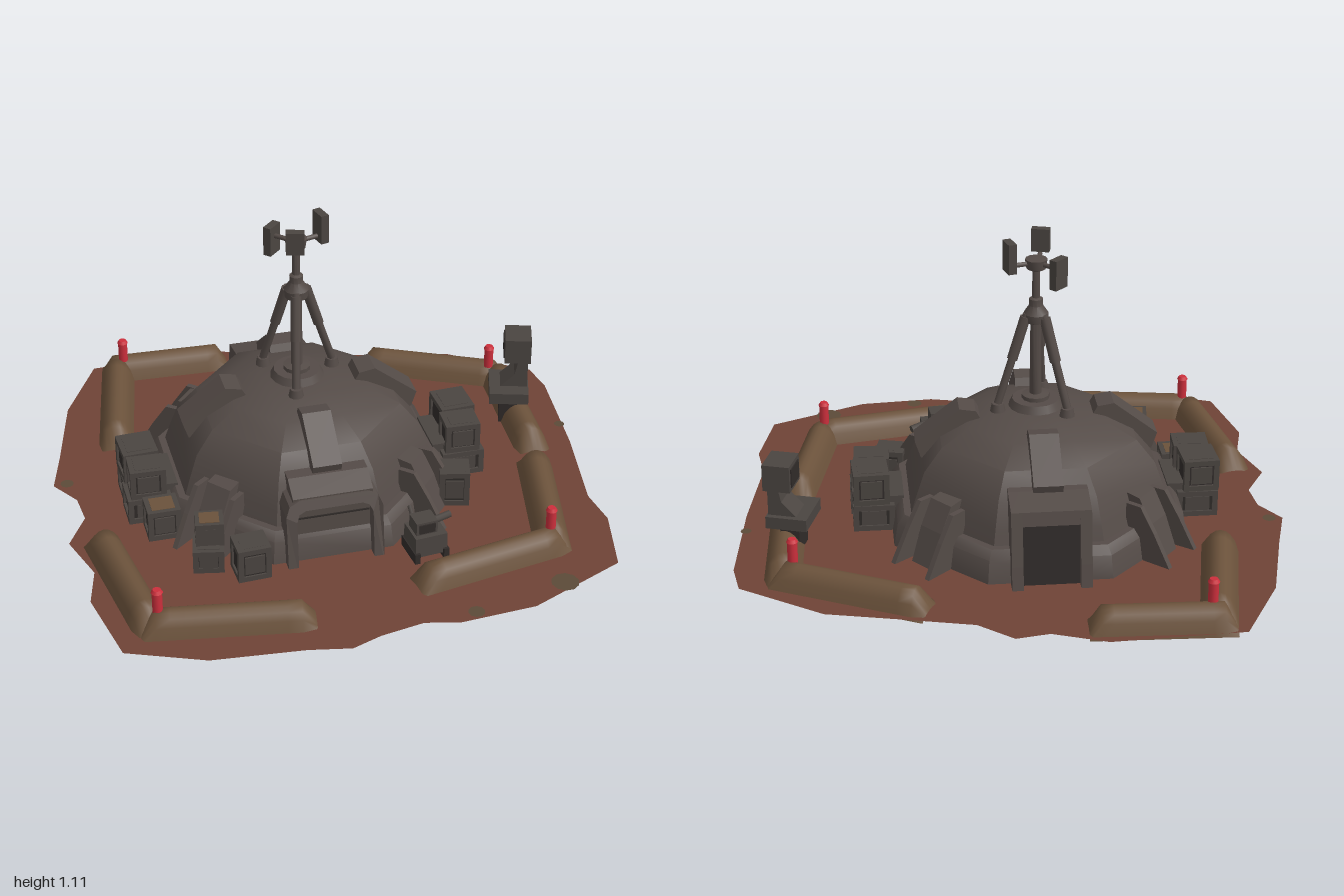
import * as THREE from 'three';
import { toCreasedNormals } from 'three/addons/utils/BufferGeometryUtils.js';

const material = (name, color, side = THREE.FrontSide) => {
  const m = new THREE.MeshStandardMaterial({ color, side });
  m.name = name;
  return m;
};

export function createModel() {
  const model = new THREE.Group();
  const hull = material('hull grey', 0x544b47, THREE.DoubleSide);
  const gear = material('gear grey', 0x4b4541);
  const dark = material('dark panel', 0x302b29);
  const soil = material('red soil', 0x6f4336, THREE.DoubleSide);
  const patchMat = material('dry soil', 0x5c4a38, THREE.DoubleSide);
  const sand = material('sandbag brown', 0x6b523b, THREE.DoubleSide);
  const red = material('beacon red', 0xcc2f3c);
  const GROUND = 0.035;

  const add = (parent, name, geo, mat, x = 0, y = 0, z = 0) => {
    const m = new THREE.Mesh(geo, mat);
    m.name = name;
    m.position.set(x, y, z);
    parent.add(m);
    return m;
  };
  const group = (parent, name, x = 0, y = 0, z = 0, turn = 0) => {
    const g = new THREE.Group();
    g.name = name;
    g.position.set(x, y, z);
    g.rotation.y = turn;
    parent.add(g);
    return g;
  };
  const box = (parent, name, mat, w, h, d, x, y, z) =>
    add(parent, name, new THREE.BoxGeometry(w, h, d), mat, x, y, z);
  const shapeOf = pts => new THREE.Shape(pts.map(p => new THREE.Vector2(...p)));
  // extruded side profile, centred on its width
  const slab = (pts, w) => new THREE.ExtrudeGeometry(shapeOf(pts), { depth: w, bevelEnabled: false }).translate(0, 0, -w / 2);
  // rod between two points
  const rod = (parent, name, a, b, r, mat, sides = 8) => {
    const p = new THREE.Vector3(...a), q = new THREE.Vector3(...b);
    const m = add(parent, name, new THREE.CylinderGeometry(r, r, p.distanceTo(q), sides), mat);
    m.position.copy(p).lerp(q, 0.5);
    m.quaternion.setFromUnitVectors(new THREE.Vector3(0, 1, 0), q.sub(p).normalize());
    return m;
  };

  // ground sheet with ragged outline (x, z)
  const outline = [[-.72, -.98], [-.25, -1], [-.06, -.93], [.06, -.95], [.18, -.85], [.43, -.79], [.69, -.73], [.98, -.53],
    [1, -.4], [.96, 0], [.9, .36], [.92, .51], [.86, .77], [.5, .93], [.22, .95], [.1, .92], [-.06, .95], [-.17, .99],
    [-.32, .96], [-.65, .93], [-.92, .82], [-.98, .52], [-.94, .36], [-1, .17], [-.92, .03], [-.93, -.09], [-1, -.2],
    [-.95, -.38], [-.87, -.7]];
  const sheet = new THREE.ShapeGeometry(shapeOf(outline.map(([x, z]) => [x, -z]))).rotateX(-Math.PI / 2);
  add(model, 'ground', sheet, soil, 0, GROUND, 0);
  for (const [x, z, r] of [[.64, .83, .05], [.29, .91, .03], [.96, -.12, .02], [-.95, -.2, .025]])
    add(model, 'drySoilPatch', new THREE.CircleGeometry(r, 10).rotateX(-Math.PI / 2), patchMat, x, GROUND + .003, z);

  // sandbag berms: a sheet raised into a rounded mound with steep ends
  const berm = (x1, z1, x2, z2) => {
    const len = Math.hypot(x2 - x1, z2 - z1);
    const geo = new THREE.PlaneGeometry(len, .14, 12, 8).rotateX(-Math.PI / 2);
    const p = geo.attributes.position;
    for (let i = 0; i < p.count; i++) {
      const across = p.getZ(i) / .07;
      const fromEnd = len / 2 - Math.abs(p.getX(i));
      const rise = .2 + .8 * Math.min(1, fromEnd / .04);
      p.setY(i, .022 + .095 * rise * Math.pow(Math.max(0, 1 - across * across), .7));
    }
    geo.computeVertexNormals();
    add(model, 'sandbagBerm', geo, sand, (x1 + x2) / 2, 0, (z1 + z2) / 2).rotation.y = -Math.atan2(z2 - z1, x2 - x1);
  };
  berm(-.69, -.92, -.19, -.9); berm(-.625, -.95, -.735, -.37);
  berm(.33, -.74, .86, -.48); berm(.83, -.53, .8, .04);
  berm(.78, .09, .66, .66); berm(.13, .72, .72, .61);
  berm(-.89, .18, -.8, .75); berm(-.84, .715, -.25, .81);
  for (const [x, z] of [[-.61, -.9], [.79, -.49], [.66, .61], [-.78, .72]]) {
    add(model, 'beacon', new THREE.CylinderGeometry(.018, .018, .085, 12), red, x, .15, z);
    add(model, 'beaconCap', new THREE.CylinderGeometry(.014, .021, .012, 12), red, x, .194, z);
  }

  // octagonal dome; profile is given by the distance to the flat sides
  const shelter = group(model, 'shelter', -.1, 0, -.055);
  const profile = [[.53, .03], [.515, .12], [.49, .15], [.465, .15], [.45, .2], [.415, .3], [.35, .38], [.25, .435], [.13, .47], [0, .48]]
    .map(([r, y]) => new THREE.Vector2(r / Math.cos(Math.PI / 8), y));
  add(shelter, 'dome', toCreasedNormals(new THREE.LatheGeometry(profile, 8, Math.PI / 8), .6), hull);

  // roof ribs on the four sides
  for (let i = 0; i < 4; i++) {
    const g = group(shelter, 'roofRib', 0, 0, 0, i * Math.PI / 2);
    add(g, 'rib', slab([[.2, .44], [.22, .475], [.28, .485], [.44, .36], [.42, .3], [.39, .3]], .105), hull);
  }
  // splayed buttresses on the diagonals, each with two side fins
  for (let i = 0; i < 4; i++) {
    const g = group(shelter, 'buttress', 0, 0, 0, Math.PI / 4 + i * Math.PI / 2 + (i % 2 ? .08 : -.08));
    add(g, 'leg', slab([[.42, .03], [.42, .26], [.48, .25], [.53, .16], [.58, .03]], .1), hull);
    for (const s of [-1, 1])
      add(g, 'fin', slab([[.45, .03], [.45, .24], [.51, .24], [.57, .15], [.64, .03]], .02), hull, 0, 0, s * .06).rotation.y = -s * .04;
  }

  // rear hood with recessed door
  const rear = group(shelter, 'rearHood', 0, 0, 0, Math.PI / 2);
  const hood = [[.36, .03], [.36, .335], [.42, .335], [.53, .31], [.57, .12], [.585, .03]];
  for (const s of [-1, 1]) add(rear, 'hoodSide', slab(hood, .04), hull, 0, 0, s * .12);
  add(rear, 'hoodRoof', slab([[.36, .29], [.36, .335], [.42, .335], [.53, .31], [.54, .26]], .21), hull);
  add(rear, 'rearDoor', slab([[.36, .03], [.36, .29], [.515, .28], [.55, .03]], .21), dark);

  // front entrance: roof, arch frame, door and skids
  const entry = group(shelter, 'frontEntrance');
  const arch = (w, h, c) => [[-w, 0], [-w, h - c], [-w + c * .3, h - c * .3], [-w + c, h], [w - c, h], [w - c * .3, h - c * .3], [w, h - c], [w, 0]];
  const frame = shapeOf([...arch(.175, .285, .05), ...arch(.138, .25, .035).reverse()]);
  const frameGeo = new THREE.ExtrudeGeometry(frame, { depth: .17, bevelEnabled: false });
  const fp = frameGeo.attributes.position;
  for (let i = 0; i < fp.count; i++) // lean the arch back above the legs
    fp.setZ(i, fp.getZ(i) - Math.max(0, fp.getY(i) - .15) * .4);
  frameGeo.computeVertexNormals();
  add(entry, 'archFrame', frameGeo, hull, 0, 0, .405);
  const roof = group(entry, 'entranceRoof', 0, 0, 0, -Math.PI / 2);
  add(roof, 'roofSlab', slab([[.34, .27], [.34, .33], [.44, .33], [.515, .29], [.515, .27]], .29), hull);
  box(entry, 'frontDoor', hull, .28, .24, .03, 0, .155, .49);
  box(entry, 'doorSeam', dark, .27, .006, .004, 0, .2, .507);
  for (const s of [-1, 1]) box(entry, 'skid', sand, .034, .025, .21, s * .157, .0125, .465);

  // mast on a tripod with three antenna panels
  const mast = group(shelter, 'mast', 0, 0, -.005);
  add(mast, 'basePlate', new THREE.CylinderGeometry(.085, .1, .03, 16), hull, 0, .485, 0);
  const post = [[0, .49], [.05, .49], [.05, .515], [.022, .52], [.02, .79], [.042, .8], [.045, .83], [.025, .86], [.025, .885], [.014, .89], [.014, .99], [.035, 1], [.04, 1.035], [0, 1.04]];
  add(mast, 'post', toCreasedNormals(new THREE.LatheGeometry(post.map(p => new THREE.Vector2(...p)), 12), .6), hull);
  [[-15, 1.055, .11], [105, 1.07, .085], [225, 1.005, .11]].forEach(([deg, y, h]) => {
    const g = group(mast, 'mastSide', 0, 0, 0, -deg * Math.PI / 180);
    rod(g, 'tripodLeg', [.035, .83, 0], [.145, .5, 0], .015, hull);
    rod(g, 'legSleeve', [.04, .82, 0], [.09, .665, 0], .02, hull);
    add(g, 'foot', new THREE.CylinderGeometry(.022, .028, .03, 10), hull, .145, .485, 0);
    rod(g, 'antennaArm', [.02, 1.02, 0], [.09, 1.02, 0], .009, hull);
    box(g, 'antennaPanel', gear, .03, h, .065, .1, y, 0);
  });

  // supply crates: a core with a frame of edge bars
  const crate = (x, y, z, w, h, d, turn = 0, lid = gear) => {
    const g = group(model, 'crate', x, y, z, turn);
    box(g, 'core', dark, w * .88, h * .92, d * .88, 0, h / 2, 0);
    for (const s of [-1, 1]) {
      for (const t of [-1, 1]) {
        box(g, 'cornerPost', gear, .02, h, .02, s * (w / 2 - .01), h / 2, t * (d / 2 - .01));
        box(g, 'longEdge', gear, w, .02, .02, 0, h / 2 + s * (h / 2 - .01), t * (d / 2 - .01));
        box(g, 'shortEdge', gear, .02, .02, d, t * (w / 2 - .01), h / 2 + s * (h / 2 - .01), 0);
      }
      box(g, 'sidePanel', gear, w * .6, h * .55, .01, 0, h / 2, s * d * .45);
    }
    box(g, 'lid', lid, w * .7, .012, d * .7, 0, h * .96, 0);
  };
  for (const [x, s] of [[-.69, -1], [.495, 1]]) {
    crate(x, GROUND, -.09, .15, .1, .13);
    crate(x, GROUND, .045, .16, .1, .13);
    crate(x + s * .01, .135, -.08, .13, .12, .14, .05);
    crate(x, .135, .05, .13, .115, .11, -.04);
    box(model, 'cratePad', gear, .06, .12, .2, x - s * .08, .1, -.03);
  }
  crate(-.66, GROUND, .175, .12, .12, .11, 0, sand);
  crate(-.54, GROUND, .41, .11, .09, .11, -.2);
  crate(-.53, .125, .385, .1, .09, .09, -.15, sand);
  crate(-.405, GROUND, .49, .12, .13, .11, .05);
  crate(.415, GROUND, .245, .11, .14, .1, -.25);

  // small field unit with an arm beside the entrance
  const unit = group(model, 'fieldUnit', .22, GROUND, .52, .1);
  box(unit, 'unitBody', gear, .12, .08, .11, 0, .06, .01);
  box(unit, 'unitHead', gear, .08, .05, .07, -.01, .125, .01);
  box(unit, 'unitScreen', dark, .06, .035, .006, -.01, .125, .047);
  rod(unit, 'unitArm', [.03, .11, -.01], [.11, .1, -.04], .014, gear);
  rod(unit, 'unitAntenna', [-.02, .08, -.04], [-.01, .11, -.12], .008, gear);
  for (const s of [-1, 1]) box(unit, 'unitTrack', dark, .02, .04, .13, s * .055, .02, .01);

  // raised console on the berm
  const desk = group(model, 'console', .785, 0, -.235, -.3);
  box(desk, 'pedestal', dark, .07, .12, .1, 0, .09, 0);
  box(desk, 'consoleBase', gear, .15, .045, .18, 0, .165, 0);
  add(desk, 'consoleBack', slab([[-.04, .18], [.07, .18], [.07, .31], [.035, .31], [.02, .24]], .1), gear, 0, 0, -.02);
  box(desk, 'monitor', gear, .1, .1, .12, .03, .34, -.03);
  box(desk, 'monitorScreen', dark, .006, .07, .09, -.021, .34, -.03);
  return model;
}
